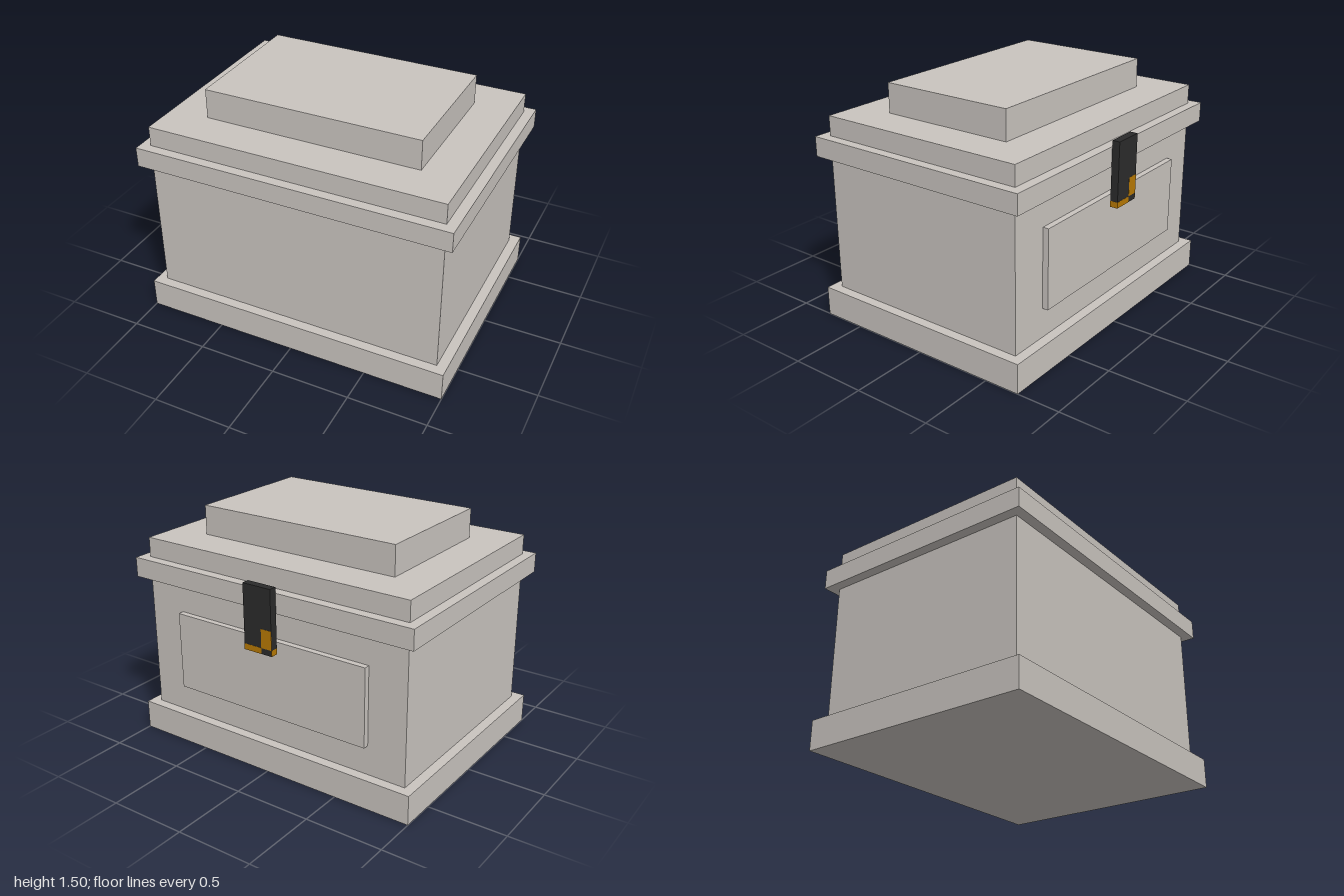
import * as THREE from 'three';

export function createModel() {
  const model = new THREE.Group();
  model.name = 'stoneChest';
  const mat = (name, color) => {
    const m = new THREE.MeshStandardMaterial({ color });
    m.name = name;
    return m;
  };
  const stone = mat('stone', 0xc9c4bf);
  const black = mat('blackIron', 0x2b2b2b);
  const gold = mat('gold', 0xb87a04);

  // Box given by its lower and upper limits on each axis
  const box = (parent, name, material, [x0, x1], [y0, y1], [z0, z1]) => {
    const mesh = new THREE.Mesh(new THREE.BoxGeometry(x1 - x0, y1 - y0, z1 - z0), material);
    mesh.position.set((x0 + x1) / 2, (y0 + y1) / 2, (z0 + z1) / 2);
    mesh.name = name;
    parent.add(mesh);
  };

  // Stacked stone tiers: name, half width, bottom, top, half depth
  const midZ = 0.025;
  for (const [name, w, y0, y1, d] of [
    ['base', 1, 0, 0.1875, 0.75],
    ['body', 0.9375, 0.1875, 1.0625, 0.6875],
    ['lidRim', 1, 1.0625, 1.1875, 0.75],
    ['lid', 0.9375, 1.1875, 1.3125, 0.6875],
    ['lidTop', 0.6875, 1.3125, 1.5, 0.4375],
  ]) box(model, name, stone, [-w, w], [y0, y1], [midZ - d, midZ + d]);

  // Raised panel on the back
  box(model, 'backPanel', stone, [-0.6875, 0.6875], [0.375, 0.875], [-0.7, -0.6625]);

  // Latch hanging over the back of the lid rim
  const latch = new THREE.Group();
  latch.name = 'latch';
  model.add(latch);
  const y0 = 0.8135, y1 = 1.225, zBack = -0.774, zFront = -0.725, strip = 0.851;
  box(latch, 'latchPlate', black, [-0.099, 0.099], [y0, y1], [zBack, zFront]);

  // Thin gold inlays wrapping the latch's lower end
  const t = 0.001;
  box(latch, 'backStrip', gold, [-0.025, 0.1], [y0, strip], [zBack - t, zBack]);
  box(latch, 'backBar', gold, [-0.1, -0.025], [strip, 0.97], [zBack - t, zBack]);
  for (const s of [-1, 1]) {
    const x = [s * 0.099, s * 0.1].sort((a, b) => a - b);
    box(latch, s > 0 ? 'leftStrip' : 'rightStrip', gold, x, [y0, strip], [zBack, zFront]);
  }
  return model;
}
